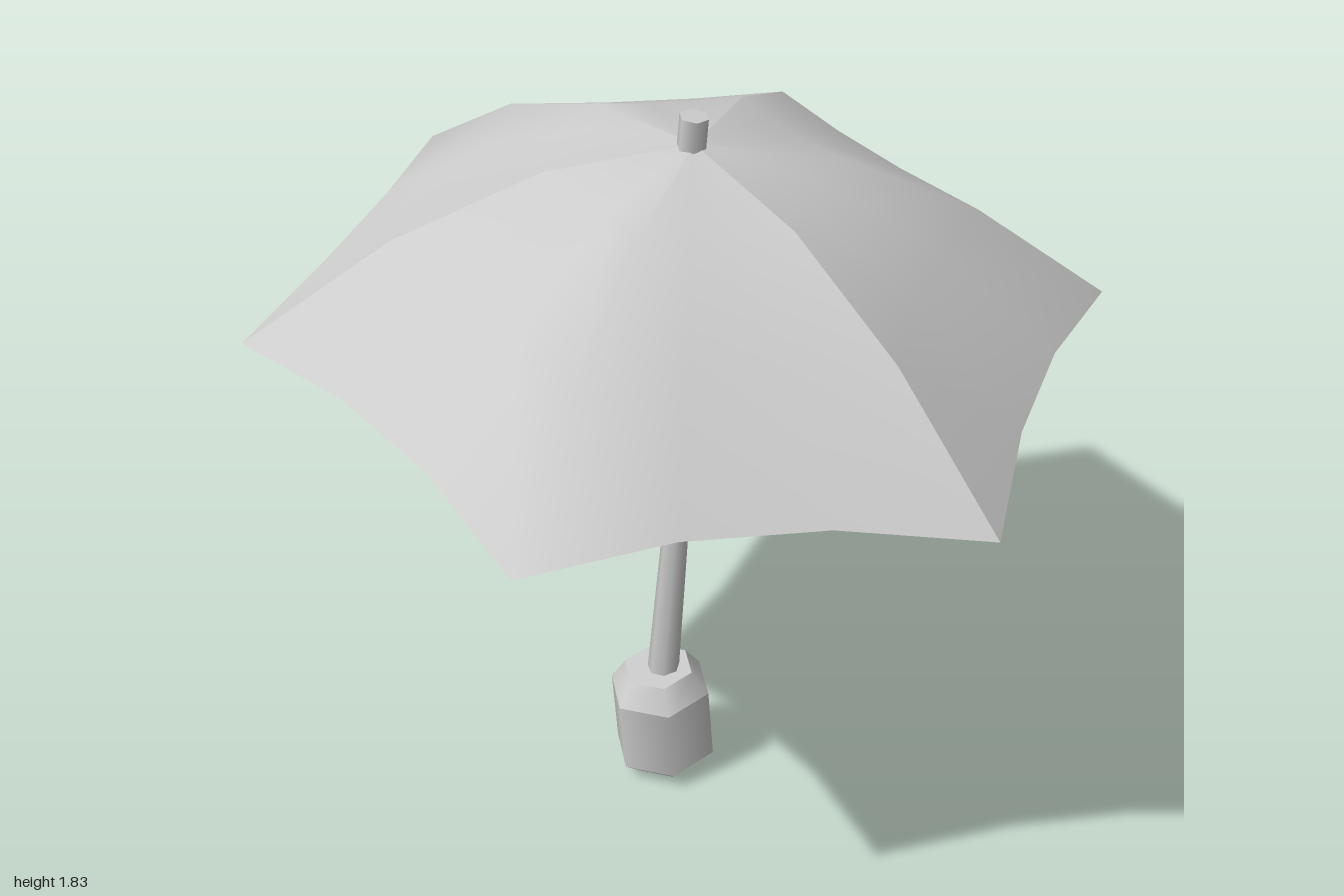
import * as THREE from 'three';
import { mergeGeometries } from 'three/addons/utils/BufferGeometryUtils.js';

// Height of the canopy above its tilted rim plane at thirds of the radius
const DOME = [0.453, 0.4, 0.246, 0];

// Point on the canopy: row along the rib, column in thirds of a panel
function canopyPoint(row, col) {
  const t = row / 3;
  const rib = Math.floor(col / 3);
  const f = (col % 3) / 3;
  const a0 = (rib * Math.PI) / 3;
  const a1 = a0 + Math.PI / 3;
  const sag = f > 0 ? 1 : 0;
  const r = t * (1 - 0.045 * sag);
  const x = r * ((1 - f) * Math.cos(a0) + f * Math.cos(a1));
  const z = r * ((1 - f) * Math.sin(a0) + f * Math.sin(a1));
  const h = DOME[row];
  const y = 1.313 + h - 0.123 * (x + 0.11 * h) - 0.045 * z + 0.03 * sag * t ** 4;
  return [x + 0.11 * h, y, z + 0.035 * h];
}

// Cloth piece spanning two panels, smooth over its middle rib
function canopyPiece(start) {
  const cols = 6;
  const pos = [];
  const index = [];
  for (let i = 0; i <= 3; i++) {
    for (let j = 0; j <= cols; j++) pos.push(...canopyPoint(i, start + j));
  }
  for (let i = 0; i < 3; i++) {
    for (let j = 0; j < cols; j++) {
      const a = i * (cols + 1) + j;
      const b = a + 1;
      const c = a + cols + 1;
      const d = c + 1;
      if (i > 0) index.push(a, b, c);
      index.push(b, d, c);
    }
  }
  const g = new THREE.BufferGeometry();
  g.setAttribute('position', new THREE.Float32BufferAttribute(pos, 3));
  g.setIndex(index);
  g.computeVertexNormals();
  return g;
}

// Bent tapering rod: rings are [x, y, z, radius] from the top down
function bentRod(rings, sides) {
  const g = new THREE.CylinderGeometry(1, 1, 1, sides, rings.length - 1);
  const p = g.attributes.position;
  for (let i = 0; i < p.count; i++) {
    const k = Math.round((0.5 - p.getY(i)) * (rings.length - 1));
    const [x, y, z, r] = rings[k];
    p.setXYZ(i, x + r * p.getX(i), y, z + r * p.getZ(i));
  }
  return g;
}

export function createModel() {
  const model = new THREE.Group();
  model.name = 'umbrella';
  const grey = new THREE.MeshStandardMaterial({ color: 0xcccccc });
  grey.name = 'grey';
  const cloth = new THREE.MeshStandardMaterial({ color: 0xcccccc, side: THREE.DoubleSide });
  cloth.name = 'grey cloth';

  const add = (name, geometry, material) => {
    const mesh = new THREE.Mesh(geometry, material);
    mesh.name = name;
    model.add(mesh);
    return mesh;
  };

  // Canopy: three double panels with seams on every other rib
  for (let k = 0; k < 3; k++) add('canopyPanel' + (k + 1), canopyPiece(k * 6), cloth);

  // Curved shaft
  add('shaft', bentRod([
    [0.047, 1.76, 0.018, 0.027],
    [0.01, 1.3, 0.02, 0.028],
    [-0.013, 0.72, 0.02, 0.033],
    [-0.063, 0.28, 0.02, 0.041],
  ], 7), grey);

  // Ferrule above the apex
  const ferrule = add('ferrule', new THREE.CylinderGeometry(0.034, 0.034, 0.08, 6), grey);
  ferrule.position.set(0.05, 1.787, 0.02);
  ferrule.rotation.z = -0.12;

  // Chunky handle with bevelled ends
  const layer = (top, bottom, y0, y1) =>
    new THREE.CylinderGeometry(top, bottom, y1 - y0, 6, 1, true).translate(0, (y0 + y1) / 2, 0);
  const cap = (r, y, turn) =>
    new THREE.CircleGeometry(r, 6, Math.PI / 2).rotateX(turn).translate(0, y, 0);
  const handle = add('handle', mergeGeometries([
    cap(0.09, 0.15, -Math.PI / 2),
    layer(0.09, 0.131, 0.09, 0.15),
    layer(0.131, 0.131, -0.108, 0.09),
    layer(0.131, 0.085, -0.15, -0.108),
    cap(0.085, -0.15, Math.PI / 2),
  ]), grey);
  handle.position.set(-0.07, 0.158, 0.017);
  handle.rotation.set(0.1, 0, -0.02);

  return model;
}
